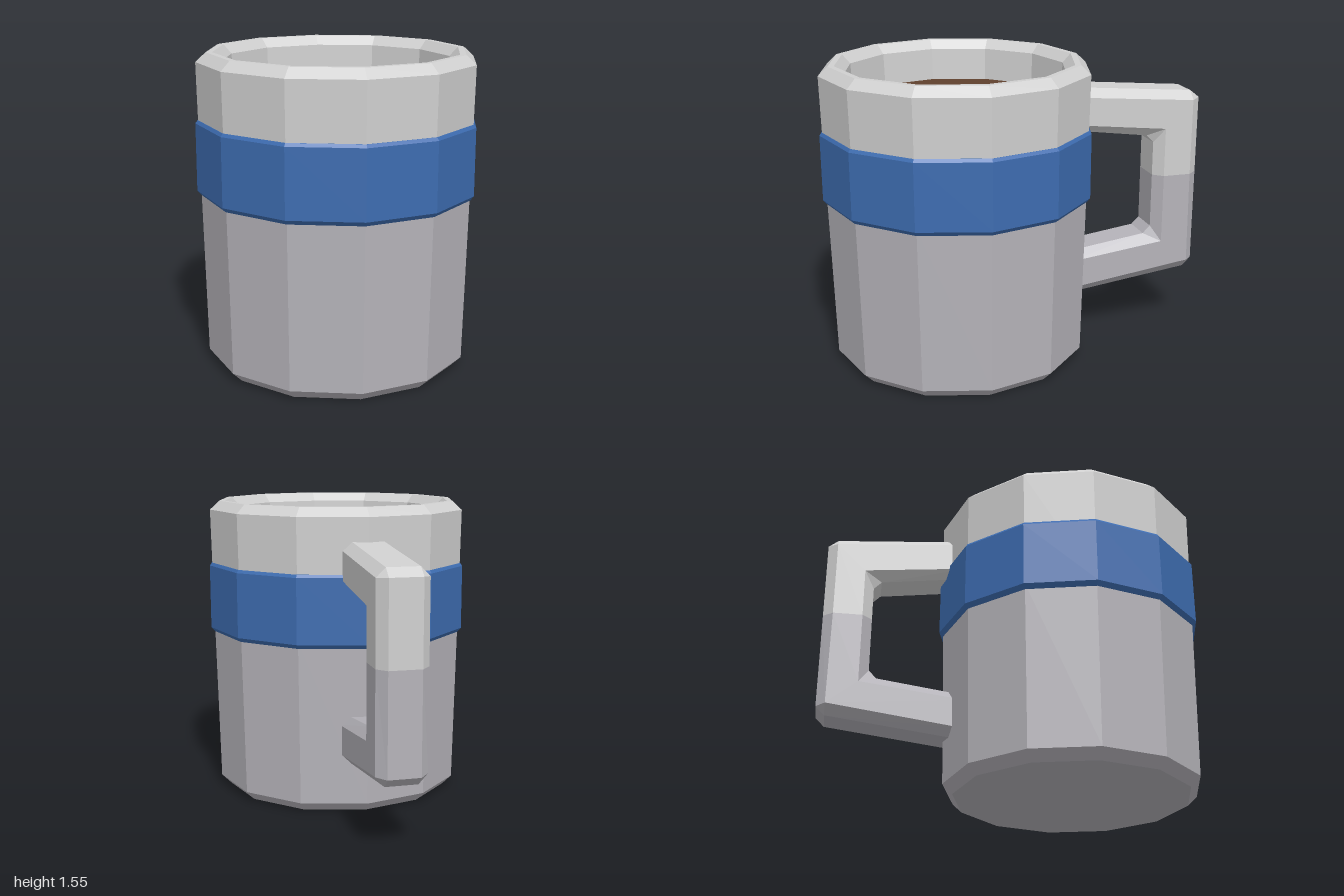
import * as THREE from 'three';

const SIDES = 12;
const CUP_Z = 0.3;

function material(name, color) {
  const m = new THREE.MeshStandardMaterial({ color });
  m.name = name;
  return m;
}

// Split shared vertices so every facet gets its own normal
function faceted(geometry) {
  const g = geometry.index ? geometry.toNonIndexed() : geometry;
  g.computeVertexNormals();
  return g;
}

function addMesh(parent, name, geometry, mat) {
  const mesh = new THREE.Mesh(faceted(geometry), mat);
  mesh.name = name;
  parent.add(mesh);
  return mesh;
}

// Twelve-sided ring from a [radius, height] profile
function turned(profile) {
  return new THREE.LatheGeometry(profile.map(([r, y]) => new THREE.Vector2(r, y)), SIDES);
}

// Bevelled bar: each station lists [z, y] of its outer, side-outer, side-inner and inner edges
function bevelledBar(stations) {
  const halfWidths = [0.08, 0.125, 0.125, 0.08];
  const positions = [];
  const index = [];
  for (const edges of stations) {
    edges.forEach(([z, y], k) => positions.push(halfWidths[k], y, z));
    for (let k = 3; k >= 0; k--) positions.push(-halfWidths[k], edges[k][1], edges[k][0]);
  }
  for (let s = 0; s < stations.length - 1; s++) {
    for (let k = 0; k < 8; k++) {
      const a = s * 8 + k, b = s * 8 + ((k + 1) % 8);
      index.push(a, b, a + 8, b, b + 8, a + 8);
    }
  }
  const g = new THREE.BufferGeometry();
  g.setAttribute('position', new THREE.Float32BufferAttribute(positions, 3));
  g.setIndex(index);
  return g;
}

export function createModel() {
  const lightGrey = material('light grey', 0xd0d0d0);
  const grey = material('grey', 0xb5b3b9);
  const blue = material('blue', 0x3d6cb0);
  const brown = material('coffee brown', 0x60412d);

  const mug = new THREE.Group();
  mug.name = 'mug';

  const cup = new THREE.Group();
  cup.name = 'cup';
  cup.position.z = CUP_Z;
  mug.add(cup);

  // Lower wall with closed, chamfered base
  addMesh(cup, 'lowerBody', turned([[0, 0], [0.605, 0], [0.655, 0.05], [0.673, 0.89]]), grey);

  // Upper wall, chamfered rim and inside wall
  addMesh(cup, 'upperBodyAndRim', turned([
    [0.673, 0.89], [0.685, 1.51], [0.635, 1.555], [0.605, 1.555], [0.562, 1.51], [0.552, 1.3],
  ]), lightGrey);

  // Raised band
  addMesh(cup, 'band', turned([
    [0.665, 0.86], [0.675, 0.86], [0.693, 0.882], [0.693, 1.215], [0.682, 1.23], [0.665, 1.23],
  ]), blue);

  // Drink surface
  const drink = new THREE.CircleGeometry(0.556, SIDES).rotateX(-Math.PI / 2).translate(0, 1.345, 0);
  addMesh(cup, 'coffee', drink, brown);

  // Handle in two halves, with roots buried in the cup wall
  const handle = new THREE.Group();
  handle.name = 'handle';
  mug.add(handle);
  const middle = [[-1, 0.89], [-0.95, 0.89], [-0.8, 0.89], [-0.75, 0.89]];
  addMesh(handle, 'upperHandle', bevelledBar([
    [[-0.27, 1.397], [-0.27, 1.352], [-0.27, 1.208], [-0.27, 1.17]],
    [[-0.95, 1.34], [-0.95, 1.295], [-0.8, 1.15], [-0.71, 1.11]],
    [[-1, 1.3], [-0.95, 1.295], [-0.8, 1.15], [-0.75, 1.07]],
    middle,
  ]), lightGrey);
  addMesh(handle, 'lowerHandle', bevelledBar([
    middle,
    [[-1, 0.39], [-0.955, 0.395], [-0.8, 0.52], [-0.75, 0.6]],
    [[-0.955, 0.345], [-0.955, 0.395], [-0.8, 0.52], [-0.71, 0.56]],
    [[-0.27, 0.258], [-0.27, 0.303], [-0.27, 0.455], [-0.27, 0.5]],
  ]), grey);

  return mug;
}
